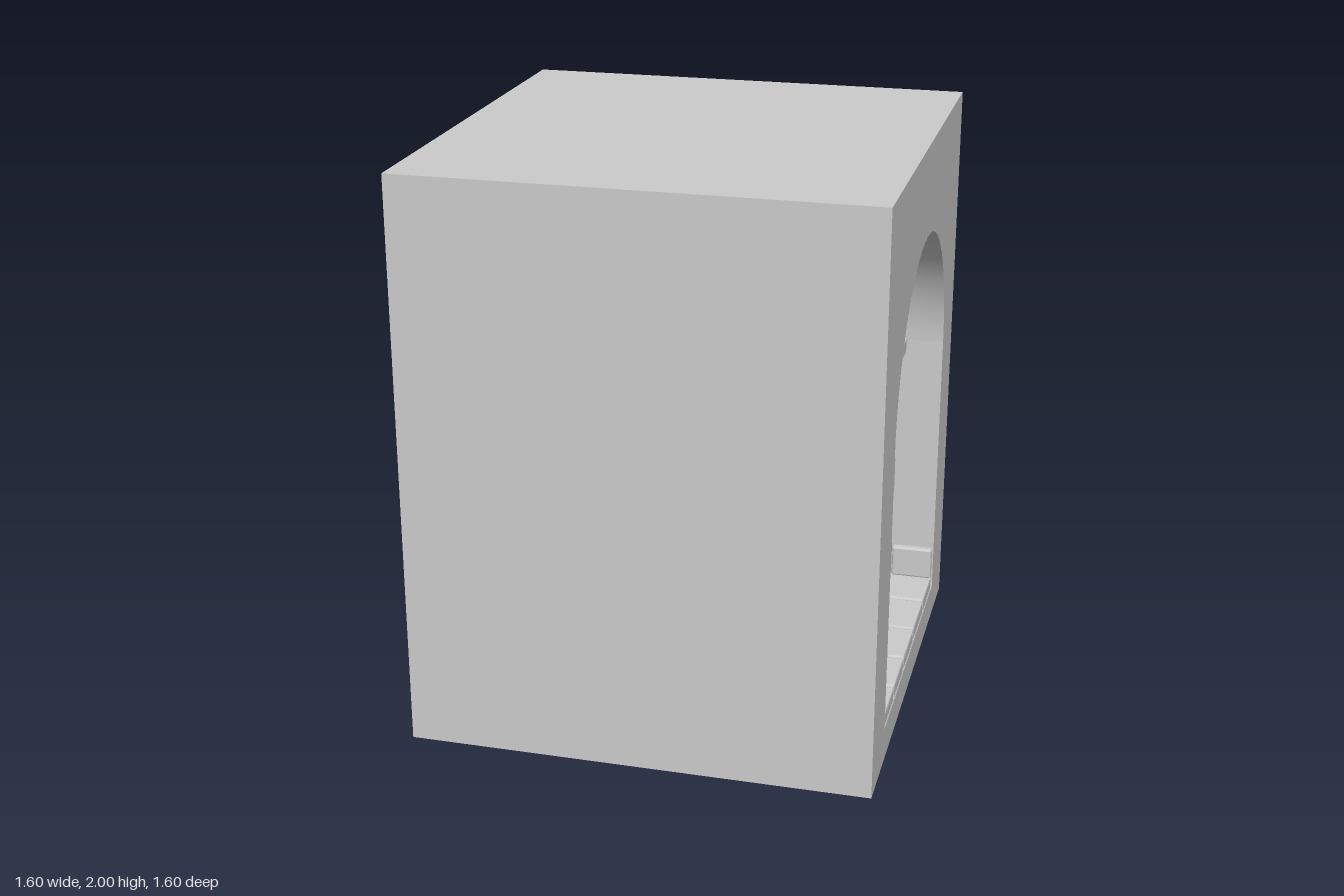
import * as THREE from 'three';
import { RoundedBoxGeometry } from 'three/addons/geometries/RoundedBoxGeometry.js';

const HALF = 0.8, TOP = 2;           // outer block
const R = 0.56, SPRING = 1.12;       // room half width = vault radius, spring line
const BED = 0.12, FLOOR = 0.165;     // under and on top of the paving

const plaster = new THREE.MeshStandardMaterial({ color: 0xcccccc, side: THREE.DoubleSide });
const stone = new THREE.MeshStandardMaterial({ color: 0xcccccc, flatShading: true });

function add(parent, name, geometry, material = plaster) {
  const mesh = new THREE.Mesh(geometry, material);
  mesh.name = name;
  parent.add(mesh);
  return mesh;
}

// Chamfered stone block given by its limits
function block(parent, name, x0, x1, y0, y1, z0, z1) {
  const g = new RoundedBoxGeometry(x1 - x0, y1 - y0, z1 - z0, 1, 0.007);
  return add(parent, name, g, stone).position.set((x0 + x1) / 2, (y0 + y1) / 2, (z0 + z1) / 2);
}

function rectShape(w, y0, y1) {
  return new THREE.Shape([[-w, y0], [w, y0], [w, y1], [-w, y1]].map(p => new THREE.Vector2(...p)));
}

// Round-headed arch outline
function archPath(Type) {
  const p = new Type();
  p.moveTo(-R, BED);
  p.lineTo(R, BED);
  p.lineTo(R, SPRING);
  p.absarc(0, SPRING, R, 0, Math.PI, false);
  p.lineTo(-R, BED);
  return p;
}

// Flat wall facing the direction at the given turn about y
function wall(parent, name, shape, turn, distance) {
  const g = new THREE.ShapeGeometry(shape, 32);
  g.translate(0, 0, distance);
  g.rotateY(turn);
  return add(parent, name, g);
}

// One quarter of the groin vault, running from the diagonals out to 'end'
function vaultQuarter(parent, turn, end) {
  const n = 32, pos = [], index = [];
  for (let i = 0; i <= n; i++) {
    const a = Math.PI * i / n, x = R * Math.cos(a), y = SPRING + R * Math.sin(a);
    pos.push(x, y, Math.abs(x), x, y, end);
    if (i < n) index.push(2 * i, 2 * i + 1, 2 * i + 2, 2 * i + 1, 2 * i + 3, 2 * i + 2);
  }
  const g = new THREE.BufferGeometry();
  g.setAttribute('position', new THREE.Float32BufferAttribute(pos, 3));
  g.setIndex(index);
  g.rotateY(turn);
  g.computeVertexNormals();
  add(parent, 'vault', g);
}

// Extruded stone with a polygon face, centred on depth z
function wedge(parent, name, points, depth, z) {
  const s = new THREE.Shape(points.map(p => new THREE.Vector2(...p)));
  const b = 0.004;
  const g = new THREE.ExtrudeGeometry(s, {
    depth: depth - 2 * b, bevelEnabled: true, bevelSize: b, bevelOffset: -b, bevelThickness: b, bevelSegments: 1 });
  g.translate(0, 0, z - depth / 2 + b);
  add(parent, name, g, stone);
}

// Ring of eleven arch stones
function archRing(parent, turn) {
  const ring = new THREE.Group();
  ring.name = 'archRing';
  const step = Math.PI / 11;
  for (let i = 0; i < 11; i++) {
    const a0 = i * step + 0.008, a1 = (i + 1) * step - 0.008, pts = [];
    const at = (r, a) => [r * Math.cos(a), SPRING + r * Math.sin(a)];
    for (let k = 0; k <= 3; k++) pts.push(at(0.565, a0 + (a1 - a0) * k / 3));
    for (let k = 3; k >= 0; k--) pts.push(at(0.507, a0 + (a1 - a0) * k / 3));
    wedge(ring, 'archStone', pts, 0.12, R);
  }
  ring.rotation.y = turn;
  parent.add(ring);
}

// Diagonal rib, stretched to reach across the corners
function diagonalRib(parent, turn) {
  const rib = new THREE.Group();
  rib.name = 'diagonalRib';
  const half = [0, 37, 53, 67, 81];
  const angles = [...half, ...half.map(a => 180 - a).reverse()].map(a => a * Math.PI / 180);
  const at = (r, a) => [Math.SQRT2 * r * Math.cos(a), SPRING + r * Math.sin(a)];
  for (let i = 0; i < angles.length - 1; i++) {
    const a = angles[i], b = angles[i + 1];
    wedge(rib, 'ribStone', [at(0.57, a), at(0.57, b), at(0.512, b), at(0.512, a)], 0.1, 0);
  }
  rib.rotation.y = turn;
  parent.add(rib);
}

// Square corner pier of alternating stones with a capital
function pier(parent, x, z) {
  const g = new THREE.Group();
  g.name = 'pier';
  const courses = [[0.165, 0.305, 0.08], [0.315, 0.495, 0.07], [0.5, 0.645, 0.08], [0.65, 0.835, 0.072],
    [0.84, 0.985, 0.08], [0.99, 1.06, 0.07], [1.065, 1.125, 0.105]];
  for (const [y0, y1, w] of courses)
    block(g, y0 > 1.06 ? 'capital' : 'pierStone', -w, w, y0, y1, -w, w);
  g.position.set(x, 0, z);
  parent.add(g);
}

export function createModel() {
  const model = new THREE.Group();
  const Q = Math.PI / 2;

  // Outer block: two closed sides, two sides with an arched opening
  for (const [turn, open] of [[0, false], [Q, true], [2 * Q, true], [3 * Q, false]]) {
    const face = rectShape(HALF, 0, TOP);
    if (open) face.holes.push(archPath(THREE.Path));
    wall(model, open ? 'openSide' : 'closedSide', face, turn, HALF);
  }
  for (const y of [0, TOP]) {
    const g = new THREE.PlaneGeometry(2 * HALF, 2 * HALF);
    g.rotateX(y ? -Q : Q);
    g.translate(0, y, 0);
    add(model, y ? 'roof' : 'underside', g);
  }

  // Inner walls: closed on +z and -x, low curved parapet on -z
  wall(model, 'innerWall', archPath(THREE.Shape), 0, R);
  wall(model, 'innerWall', archPath(THREE.Shape), 3 * Q, R);
  const parapet = new THREE.Shape();
  parapet.moveTo(-R, BED);
  parapet.lineTo(R, BED);
  parapet.lineTo(R, SPRING);
  parapet.absarc(0, SPRING, R, 0, Math.PI, true);
  wall(model, 'parapet', parapet, 2 * Q, -(-R));

  // Passage side walls between the room and the openings
  for (const turn of [Q, 2 * Q])
    for (const side of [-1, 1]) {
      const g = new THREE.PlaneGeometry(HALF - R, SPRING - BED);
      g.rotateY(-side * Q);
      g.translate(side * R, (SPRING + BED) / 2, (HALF + R) / 2);
      g.rotateY(turn);
      add(model, 'passageWall', g);
    }

  // Vault, arch rings, diagonal ribs and piers
  [R, HALF, HALF, R].forEach((end, i) => {
    vaultQuarter(model, i * Q, end);
    archRing(model, i * Q);
  });
  for (const s of [-1, 1]) {
    diagonalRib(model, s * Q / 2);
    for (const t of [-1, 1]) pier(model, s * R, t * R);
  }

  // Bed under the paving
  block(model, 'floorBed', -R, HALF - 0.002, 0.06, BED, -R, R);
  block(model, 'floorBed', -R, R, 0.06, BED, -HALF + 0.002, -R);

  // Paving: staggered strips through the room, one row in the back passage
  const gap = 0.005;
  const strips = [-0.56, -0.345, -0.11, 0.12, 0.335, 0.56];
  const joints = [[-0.56, -0.3, 0.02, 0.3, 0.57, 0.8], [-0.56, -0.16, 0.16, 0.46, 0.8]];
  for (let i = 0; i < 5; i++) {
    const xs = joints[i % 2];
    for (let k = 0; k < xs.length - 1; k++)
      block(model, 'floorSlab', xs[k] + gap, xs[k + 1] - gap, BED - 0.01, FLOOR, strips[i] + gap, strips[i + 1] - gap);
  }
  const row = [-0.56, -0.28, 0.1, 0.35, 0.56];
  for (let k = 0; k < 4; k++)
    block(model, 'floorSlab', row[k] + gap, row[k + 1] - gap, BED - 0.01, FLOOR, -HALF, -R - gap);

  // Skirting along the closed walls and passage sides
  const skirt = [-0.49, -0.35, -0.105, 0.24, 0.49];
  for (let k = 0; k < 4; k++) {
    const a = skirt[k] + gap, b = skirt[k + 1] - gap;
    block(model, 'skirting', -R - 0.01, -R + 0.035, FLOOR, 0.29, a, b);
    block(model, 'skirting', a, b, FLOOR, 0.29, R - 0.035, R + 0.01);
  }
  for (const s of [-1, 1]) {
    const a = s * R - 0.025, b = s * R + 0.025;
    block(model, 'skirting', 0.645, HALF - 0.005, FLOOR, 0.285, a, b);
    block(model, 'skirting', a, b, FLOOR, 0.285, -HALF + 0.005, -0.645);
  }
  return model;
}
